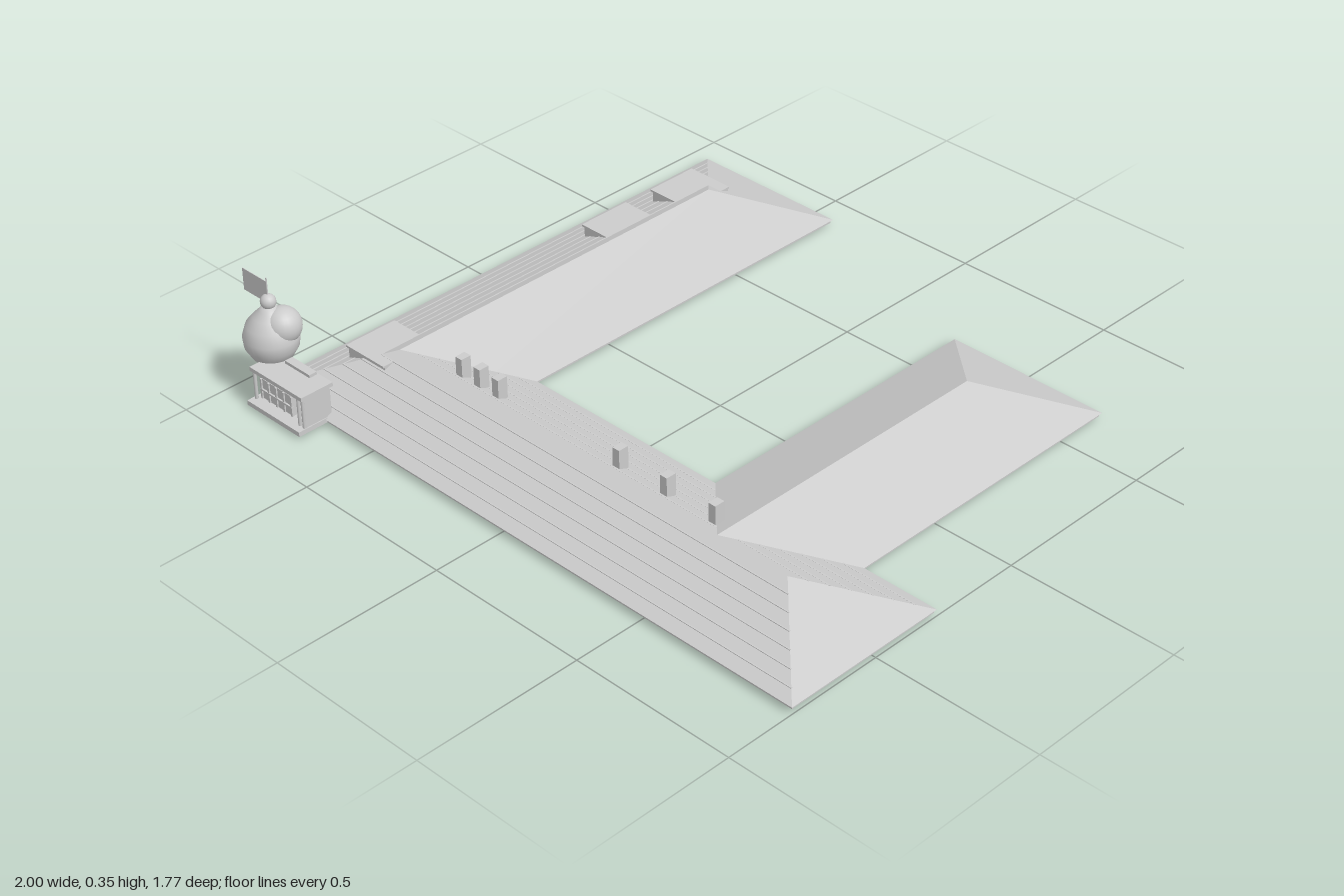
import * as THREE from 'three';

const EAVE = 0.02, RIDGE = 0.125, HALF = 0.255;

export function createModel() {
  const root = new THREE.Group();
  const mat = new THREE.MeshStandardMaterial({ color: 0xcccccc });
  const flat = new THREE.MeshStandardMaterial({ color: 0xcccccc, flatShading: true, side: THREE.DoubleSide });

  const add = (name, geo, x = 0, y = 0, z = 0, m = mat) => {
    const mesh = new THREE.Mesh(geo, m);
    mesh.name = name;
    mesh.position.set(x, y, z);
    root.add(mesh);
    return mesh;
  };
  // Box given by its limits
  const box = (name, x0, x1, y0, y1, z0, z1) =>
    add(name, new THREE.BoxGeometry(x1 - x0, y1 - y0, z1 - z0), (x0 + x1) / 2, (y0 + y1) / 2, (z0 + z1) / 2);

  // Pitched roof over a rectangle; p and q are the ridge ends [x, z]
  const hipRoof = (name, x0, x1, z0, z1, p, q, alongX) => {
    const v = [[x0, EAVE, z0], [x1, EAVE, z0], [x1, EAVE, z1], [x0, EAVE, z1],
      [p[0], RIDGE, p[1]], [q[0], RIDGE, q[1]]];
    const faces = alongX
      ? [[0, 3, 4], [2, 1, 5], [3, 2, 5], [3, 5, 4], [1, 0, 4], [1, 4, 5]]
      : [[1, 0, 4], [3, 2, 5], [0, 3, 5], [0, 5, 4], [2, 1, 4], [2, 4, 5]];
    const g = new THREE.BufferGeometry();
    g.setAttribute('position', new THREE.Float32BufferAttribute(faces.flat().flatMap(i => v[i]), 3));
    g.computeVertexNormals();
    add(name, g, 0, 0, 0, flat);
  };
  hipRoof('westWingRoof', -0.92, -0.41, -0.89, 0.79, [-0.665, -0.635], [-0.665, 0.535], false);
  hipRoof('frontWingRoof', -0.665, 1, 0.28, 0.79, [-0.665, 0.535], [0.745, 0.535], true);
  hipRoof('middleWingRoof', 0.255, 0.765, -0.655, 0.535, [0.51, -0.4], [0.51, 0.535], false);

  // Base slab following the plan of the three wings
  const plan = [[-0.915, -0.885], [-0.415, -0.885], [-0.415, 0.285], [0.26, 0.285], [0.26, -0.65],
    [0.76, -0.65], [0.76, 0.285], [0.995, 0.285], [0.995, 0.785], [-0.915, 0.785]];
  const shape = new THREE.Shape(plan.map(([x, z]) => new THREE.Vector2(x, -z)));
  const slab = new THREE.ExtrudeGeometry(shape, { depth: 0.011, bevelEnabled: false });
  slab.rotateX(-Math.PI / 2);
  add('baseSlab', slab, 0, 0.01, 0);

  // Thin tile courses on the front, courtyard and west slopes
  for (let i = 1; i <= 6; i++) {
    const t = i / 7, y = EAVE + t * (RIDGE - EAVE), d = t * HALF, h = 0.0015;
    box('frontTileCourse', -0.92 + d, 1 - d, y - h, y + h, 0.787 - d, 0.791 - d);
    box('courtTileCourse', -0.41 - d, 0.255 + d, y - h, y + h, 0.279 + d, 0.283 + d);
    box('courtTileCourse', 0.765 - d, 1 - d, y - h, y + h, 0.279 + d, 0.283 + d);
    box('westTileCourse', -0.921 + d, -0.917 + d, y - h, y + h, -0.89 + d, 0.79 - d);
  }

  // Chimneys along the front ridge
  for (const x of [-0.478, -0.408, -0.337, 0.113, 0.282, 0.45])
    box('chimney', x - 0.012, x + 0.012, 0.09, 0.163, 0.46, 0.492);

  // Flat-topped dormers on the west slope
  for (const [z0, z1] of [[-0.705, -0.535], [-0.435, -0.262], [0.437, 0.607]]) {
    box('dormer', -0.797, -0.65, 0.06, 0.106, z0 + 0.005, z1 - 0.005);
    box('dormerRoof', -0.802, -0.65, 0.105, 0.111, z0, z1);
  }

  // Entrance porch
  box('porchFloor', -0.89, -0.675, 0.01, 0.024, 0.76, 0.88);
  box('porchRoof', -0.885, -0.672, 0.114, 0.126, 0.76, 0.866);
  box('porchParapet', -0.83, -0.73, 0.126, 0.135, 0.765, 0.79);
  box('porchBackWall', -0.885, -0.68, 0.02, 0.115, 0.765, 0.785);
  box('porchSideWall', -0.686, -0.678, 0.02, 0.115, 0.78, 0.855);
  for (const x of [-0.88, -0.7, -0.682])
    add('porchColumn', new THREE.CylinderGeometry(0.005, 0.005, 0.095, 10), x, 0.07, 0.855);
  box('porchBooth', -0.87, -0.745, 0.024, 0.085, 0.818, 0.842);
  for (let i = 0; i < 5; i++) {
    const x = -0.87 + i * 0.031;
    box('boothPost', x - 0.003, x + 0.003, 0.024, 0.085, 0.84, 0.846);
  }
  box('boothRail', -0.873, -0.742, 0.05, 0.055, 0.84, 0.847);

  // Corner turret with a bulbous dome
  const cx = -0.9, cz = 0.775;
  add('turretStem', new THREE.CylinderGeometry(0.013, 0.016, 0.12, 16), cx, 0.06, cz);
  const domeProfile = [[0, 0.088], [0.026, 0.092], [0.056, 0.118], [0.074, 0.15], [0.077, 0.18],
    [0.066, 0.215], [0.045, 0.24], [0.027, 0.258], [0.016, 0.27], [0, 0.272]]
    .map(([r, y]) => new THREE.Vector2(r, y));
  add('turretDome', new THREE.LatheGeometry(domeProfile, 32), cx, 0, cz);
  add('sideDome', new THREE.SphereGeometry(0.053, 24, 16), -0.872, 0.213, 0.756);
  add('topBall', new THREE.SphereGeometry(0.022, 16, 12), cx, 0.282, cz);
  add('flagpole', new THREE.CylinderGeometry(0.002, 0.002, 0.08, 8), cx, 0.315, cz);
  box('flag', -1, -0.9, 0.276, 0.343, cz - 0.001, cz + 0.001);

  return root;
}
